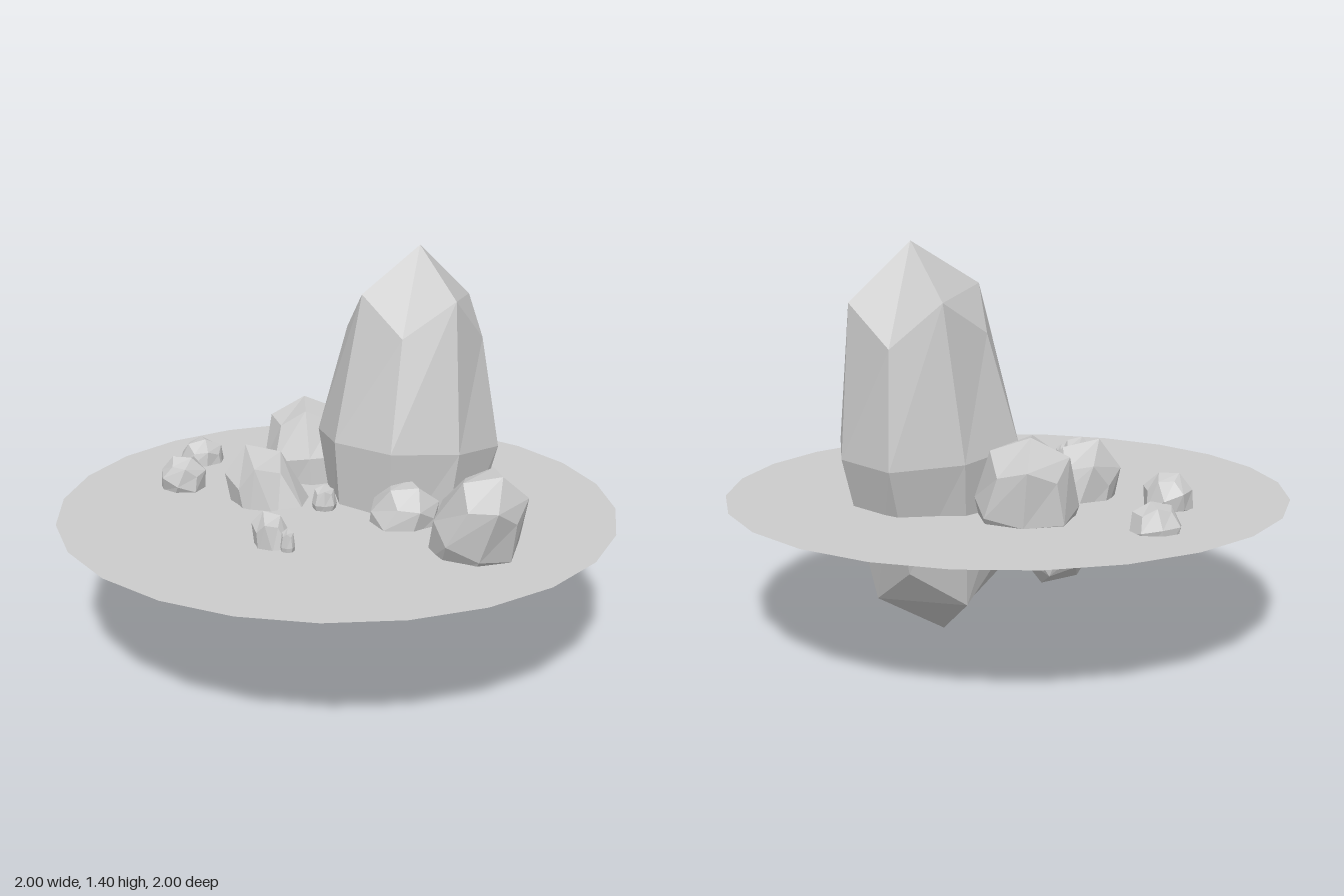
import * as THREE from 'three';

const UP = new THREE.Vector3(0, 1, 0);

// Unit crystal: a cube split 2x2 per side, rounded so each side's centre becomes a tip
function crystalGeometry() {
  const geometry = new THREE.BoxGeometry(2, 2, 2, 2, 2, 2);
  const p = geometry.attributes.position;
  const v = new THREE.Vector3();
  const factor = [1, 1, 0.75, 0.5556]; // side centre, edge middle, corner
  for (let i = 0; i < p.count; i++) {
    v.fromBufferAttribute(p, i);
    const axes = Math.round(Math.abs(v.x) + Math.abs(v.y) + Math.abs(v.z));
    v.multiplyScalar(factor[axes]);
    p.setXYZ(i, v.x, v.y, v.z);
  }
  geometry.computeVertexNormals();
  return geometry;
}

// Each crystal: name, centre, half axis (centre to upper tip), radius, twist in degrees
const CRYSTALS = [
  ['mainCrystal', [0.195, 0.7, -0.24], [0.015, 0.7, -0.08], 0.317, 50],
  ['backLeftCrystal', [-0.215, 0.55, -0.32], [-0.04, 0.23, -0.06], 0.175, 20],
  ['frontLeftCrystal', [-0.235, 0.435, 0.02], [-0.1, 0.27, 0.02], 0.145, 25],
  ['rightCrystal', [0.575, 0.575, 0.29], [0.095, 0.22, 0.07], 0.15, 20],
  ['middleCrystal', [0.27, 0.505, 0.08], [0.06, 0.125, 0.02], 0.125, 30],
  ['frontCrystal', [-0.085, 0.5, 0.425], [-0.03, 0.12, 0.02], 0.068, 15],
  ['frontChip', [-0.02, 0.515, 0.47], [0, 0.065, 0], 0.025, 10],
  ['centreChip', [-0.03, 0.52, 0.055], [0, 0.07, 0], 0.045, 20],
  ['farLeftBackPebble', [-0.66, 0.5, -0.31], [0.02, 0.09, 0.01], 0.088, 35],
  ['farLeftFrontPebble', [-0.605, 0.53, -0.005], [0.035, 0.085, 0], 0.088, 10],
];

export function createModel() {
  const group = new THREE.Group();
  group.name = 'crystalCluster';

  // Thin round ground plate
  const plate = new THREE.Mesh(
    new THREE.CircleGeometry(1, 24).rotateX(-Math.PI / 2),
    new THREE.MeshStandardMaterial({ color: 0xcccccc, flatShading: true, side: THREE.DoubleSide })
  );
  plate.name = 'groundPlate';
  plate.position.y = 0.5;
  group.add(plate);

  // Crystals poking through the plate
  const geometry = crystalGeometry();
  const material = new THREE.MeshStandardMaterial({ color: 0xcccccc, flatShading: true });
  for (const [name, centre, halfAxis, radius, twist] of CRYSTALS) {
    const axis = new THREE.Vector3(...halfAxis);
    const length = axis.length();
    const crystal = new THREE.Mesh(geometry, material);
    crystal.name = name;
    crystal.position.set(...centre);
    crystal.scale.set(radius, length, radius);
    crystal.quaternion.setFromUnitVectors(UP, axis.normalize());
    crystal.rotateY(THREE.MathUtils.degToRad(twist));
    group.add(crystal);
  }
  return group;
}
